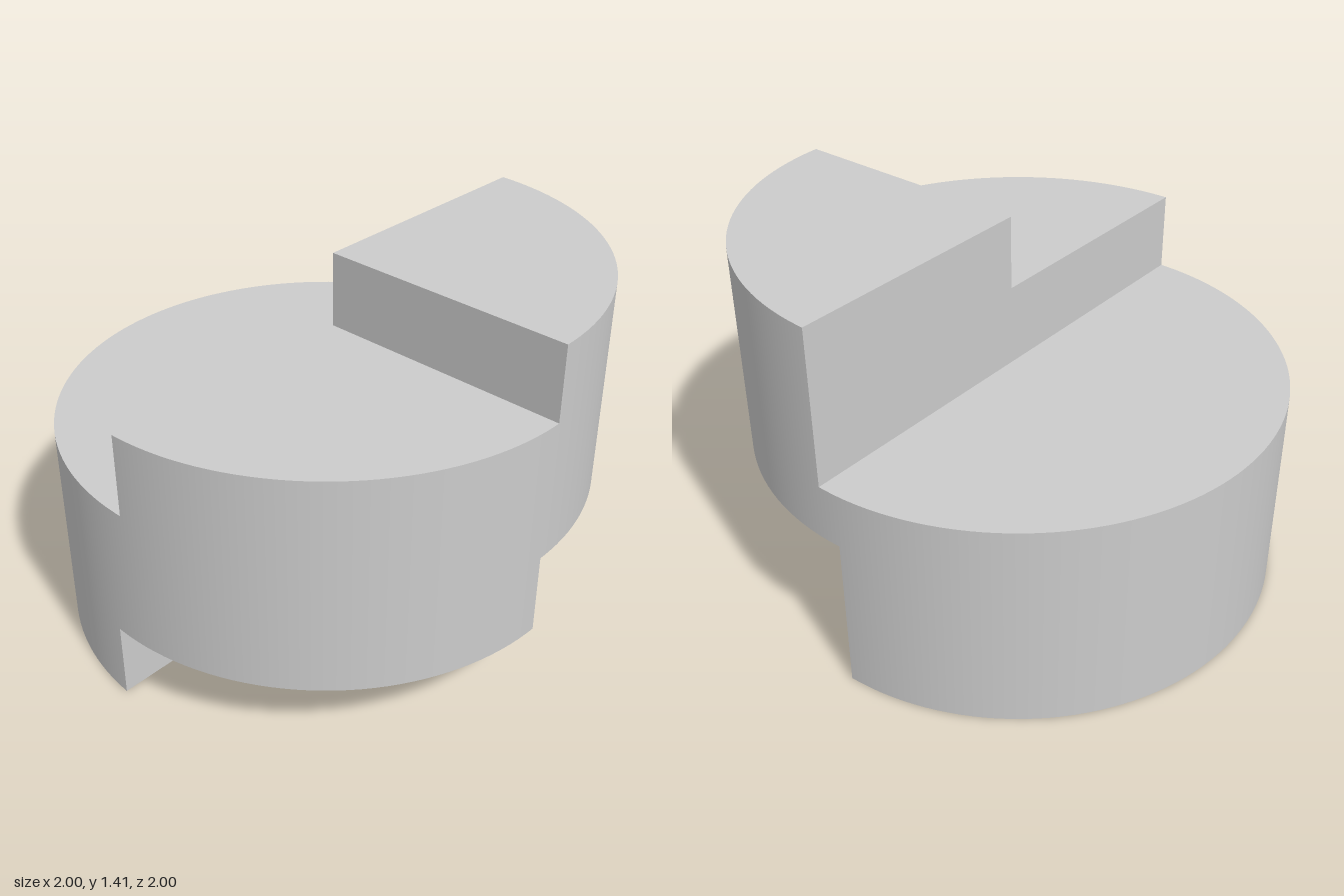
import * as THREE from 'three';

// Each end of the disc has three levels: the front is split at x, the back half begins at z
const TOP = { x: 0.011, z: 0.023, right: 1.41, left: 1.127, back: 0.815, up: true };
const BOTTOM = { x: -0.011, z: -0.048, right: 0.603, left: 0.293, back: 0, up: false };
const TAU = Math.PI * 2;

// Angles (measured from +x towards +z) where the cuts meet the rim
const cuts = (e) => [Math.asin(e.z), Math.acos(e.x), Math.PI - Math.asin(e.z)];
const heightAt = (e, a) => {
  if (Math.sin(a) < e.z) return e.back;
  return Math.cos(a) > e.x ? e.right : e.left;
};

// Shared rim samples, with the cut angles included so the steps stay sharp
const wrap = (a) => (a + TAU) % TAU;
const rim = [...cuts(TOP), ...cuts(BOTTOM)].map(wrap);
for (let i = 0; i < 144; i++) rim.push((i / 144) * TAU);
rim.sort((a, b) => a - b);

function surface(positions, normals, indices) {
  const g = new THREE.BufferGeometry();
  g.setAttribute('position', new THREE.Float32BufferAttribute(positions, 3));
  g.setIndex(indices);
  if (normals) g.setAttribute('normal', new THREE.Float32BufferAttribute(normals, 3));
  else g.computeVertexNormals();
  return g;
}

// Round side wall with smooth radial normals
function sideWall() {
  const p = [], n = [], idx = [];
  rim.forEach((a, i) => {
    const b = i + 1 < rim.length ? rim[i + 1] : rim[0] + TAU;
    if (b - a < 1e-6) return;
    const lo = heightAt(BOTTOM, (a + b) / 2), hi = heightAt(TOP, (a + b) / 2);
    const k = p.length / 3;
    for (const t of [a, b]) {
      for (const y of [lo, hi]) {
        p.push(Math.cos(t), y, Math.sin(t));
        n.push(Math.cos(t), 0, Math.sin(t));
      }
    }
    idx.push(k, k + 1, k + 2, k + 2, k + 1, k + 3);
  });
  return surface(p, n, idx);
}

// Flat level bounded by a rim arc and, for the quarters, the inner corner
function level(e, from, to, y, corner) {
  const angles = [...rim.map((a) => a - TAU), ...rim, ...rim.map((a) => a + TAU)]
    .filter((a) => a > from + 1e-6 && a < to - 1e-6);
  const s = e.up ? -1 : 1;
  const pts = [from, ...angles, to].map((a) => new THREE.Vector2(Math.cos(a), s * Math.sin(a)));
  if (corner) pts.push(new THREE.Vector2(e.x, s * e.z));
  return new THREE.ShapeGeometry(new THREE.Shape(pts))
    .rotateX(s * Math.PI / 2).translate(0, y, 0);
}

// Upright rectangle between two plan points
function riser([x0, z0], [x1, z1], y0, y1, flip) {
  return surface([x0, y0, z0, x1, y0, z1, x1, y1, z1, x0, y1, z0], null,
    flip ? [0, 2, 1, 0, 3, 2] : [0, 1, 2, 0, 2, 3]);
}

export function createModel() {
  const group = new THREE.Group();
  group.name = 'steppedDisc';
  const material = new THREE.MeshStandardMaterial({ color: 0xcccccc });
  const add = (name, geometry) => {
    const mesh = new THREE.Mesh(geometry, material);
    mesh.name = name;
    group.add(mesh);
  };

  add('roundSide', sideWall());

  for (const e of [TOP, BOTTOM]) {
    const end = e.up ? 'top' : 'bottom';
    const [a, b, c] = cuts(e);
    add(end + 'RightLevel', level(e, a, b, e.right, true));
    add(end + 'LeftLevel', level(e, b, c, e.left, true));
    add(end + 'BackLevel', level(e, c, a + TAU, e.back, false));

    // Steps across the middle face back on the top and forward on the bottom
    const w = Math.sqrt(1 - e.z * e.z), d = Math.sqrt(1 - e.x * e.x);
    add(end + 'LeftStep', riser([-w, e.z], [e.x, e.z], e.back, e.left, e.up));
    add(end + 'RightStep', riser([e.x, e.z], [w, e.z], e.back, e.right, e.up));
    // Step between the two front quarters
    add(end + 'FrontStep', riser([e.x, e.z], [e.x, d], e.left, e.right, !e.up));
  }
  return group;
}
